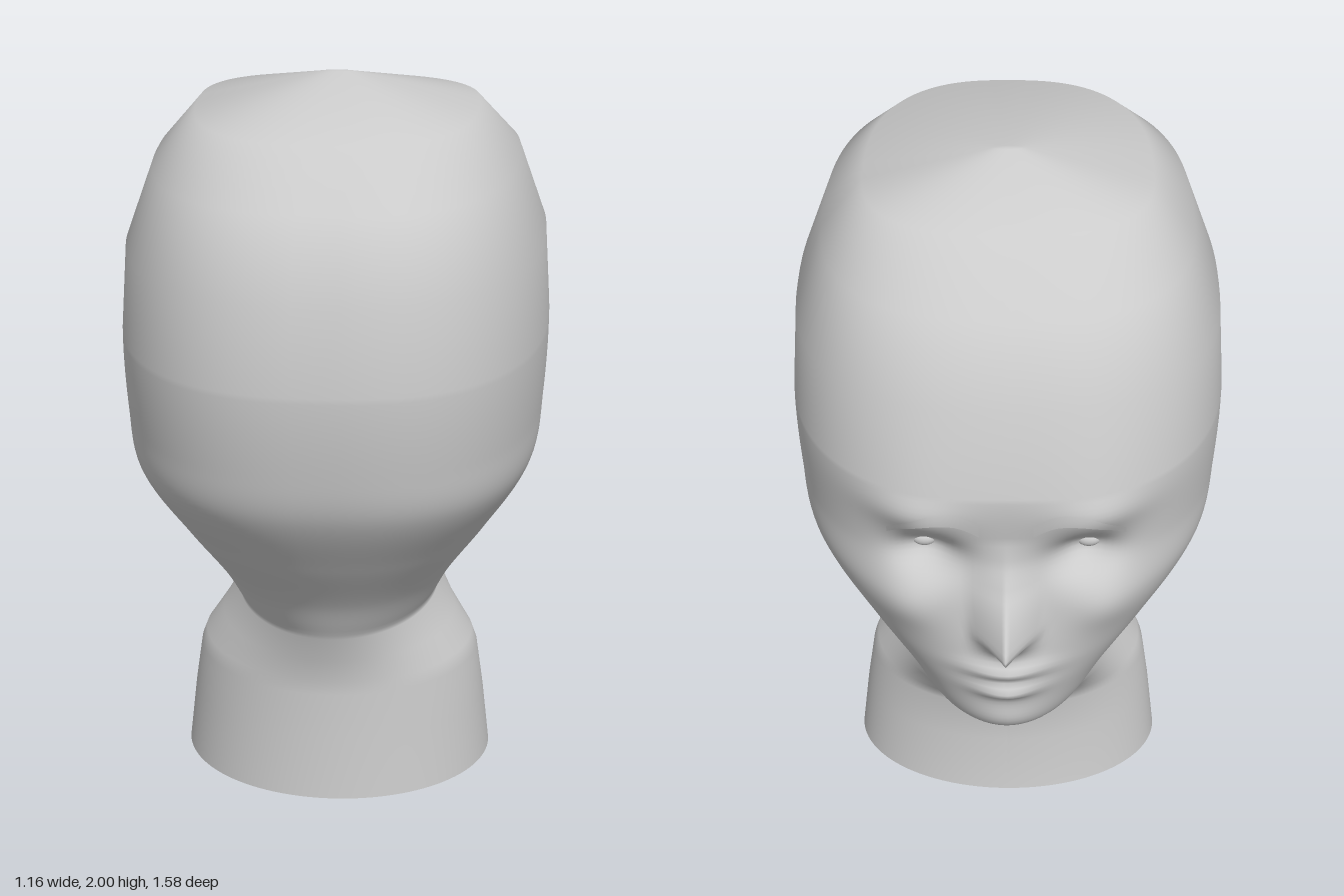
import * as THREE from 'three';

// Head sections: height, half width, back depth, front depth, squareness
const SECTIONS = [
  [0.00, 0.44, 0.39, 0.30, 2.0],
  [0.18, 0.42, 0.38, 0.28, 2.0],
  [0.32, 0.40, 0.38, 0.29, 2.0],
  [0.36, 0.385, 0.38, 0.31, 2.0],
  [0.43, 0.335, 0.395, 0.40, 2.0],
  [0.51, 0.285, 0.42, 0.57, 2.0],
  [0.55, 0.298, 0.44, 0.61, 2.05],
  [0.64, 0.345, 0.49, 0.63, 2.15],
  [0.80, 0.45, 0.61, 0.645, 2.3],
  [0.98, 0.55, 0.73, 0.635, 2.5],
  [1.12, 0.57, 0.77, 0.625, 2.5],
  [1.35, 0.58, 0.795, 0.65, 2.5],
  [1.58, 0.565, 0.78, 0.60, 2.5],
  [1.79, 0.49, 0.69, 0.50, 2.6],
  [1.92, 0.38, 0.51, 0.31, 2.6],
  [1.998, 0.04, 0.01, 0.01, 2.0],
];

// Smooth interpolation between neighbouring sections
function sectionAt(y) {
  const last = SECTIONS.length - 1;
  let i = 0;
  while (i < last - 1 && SECTIONS[i + 1][0] < y) i++;
  const p = SECTIONS[i], q = SECTIONS[i + 1], h = q[0] - p[0], t = (y - p[0]) / h;
  const before = SECTIONS[Math.max(i - 1, 0)], after = SECTIONS[Math.min(i + 2, last)];
  return [1, 2, 3, 4].map((k) => {
    const m0 = (q[k] - before[k]) / (q[0] - before[0]) * h;
    const m1 = (after[k] - p[k]) / (after[0] - p[0]) * h;
    const t2 = t * t, t3 = t2 * t;
    return (2 * t3 - 3 * t2 + 1) * p[k] + (t3 - 2 * t2 + t) * m0
      + (3 * t2 - 2 * t3) * q[k] + (t3 - t2) * m1;
  });
}

// Facial relief: x, y, spread in x, spread in y, height
const RELIEF = [
  [0.20, 1.13, 0.085, 0.06, -0.065], // eye socket
  [0.24, 1.28, 0.11, 0.06, 0.028],   // brow ridge
  [0.27, 0.97, 0.10, 0.09, 0.03],    // cheek
  [0, 0.775, 0.10, 0.028, 0.036],    // upper lip
  [0, 0.70, 0.085, 0.03, 0.036],     // lower lip
  [0, 0.57, 0.08, 0.04, 0.008],      // chin
];
const NOSE = [[0.80, 0], [0.84, 0.03], [0.87, 0.075], [0.905, 0.15], [0.95, 0.122],
  [1.05, 0.05], [1.12, 0.018], [1.2, 0]];

function relief(x, y) {
  const ax = Math.abs(x);
  let d = 0;
  for (const [cx, cy, sx, sy, h] of RELIEF) {
    d += h * Math.exp(-(((ax - cx) / sx) ** 2) - ((y - cy) / sy) ** 2);
  }
  for (let i = 0; i < NOSE.length - 1; i++) {
    const [y0, h0] = NOSE[i], [y1, h1] = NOSE[i + 1];
    if (y >= y0 && y < y1) {
      const h = h0 + (h1 - h0) * (y - y0) / (y1 - y0);
      d += h * Math.max(0, 1 - ax / 0.105) ** 1.25;
    }
  }
  return d;
}

// Depth of the face surface at a given point
function faceZ(x, y) {
  const [a, , front, n] = sectionAt(y);
  const r = Math.min(Math.abs(x) / a, 1);
  return -front * (1 - r ** n) ** (1 / n) - relief(x, y);
}

// Head and neck skin, open at the base of the neck
function headGeometry() {
  const rows = SECTIONS.map((s) => s[0]).filter((y) => y < 0.52 || y > 1.34);
  for (let y = 0.525; y < 1.34; y += 0.015) rows.push(y);
  rows.sort((p, q) => p - q);
  const cols = 144, pos = [], index = [];
  const power = (v, e) => Math.sign(v) * Math.abs(v) ** e;
  for (const y of rows) {
    const [a, back, front, n] = sectionAt(y);
    for (let j = 0; j < cols; j++) {
      const t = (2 * j) / cols - 1; // columns gather at the face
      const ang = Math.PI * power(t, 1.4);
      const c = Math.cos(ang), x = a * power(Math.sin(ang), 2 / n);
      let z = -(c > 0 ? front : back) * power(c, 2 / n);
      if (c > 0) z -= relief(x, y) * Math.min(1, c * 3);
      pos.push(x, y, z);
    }
  }
  for (let i = 0; i < rows.length - 1; i++) {
    for (let j = 0; j < cols; j++) {
      const k = (j + 1) % cols;
      const p = i * cols + j, q = i * cols + k;
      index.push(p, p + cols, q, q, p + cols, q + cols);
    }
  }
  // Crown
  const top = pos.length / 3, ring = (rows.length - 1) * cols;
  pos.push(0, 2, 0);
  for (let j = 0; j < cols; j++) index.push(ring + j, top, ring + (j + 1) % cols);
  const g = new THREE.BufferGeometry();
  g.setAttribute('position', new THREE.Float32BufferAttribute(pos, 3));
  g.setIndex(index);
  g.computeVertexNormals();
  return g;
}

// Arched strip lying just off the forehead
function browGeometry(side) {
  const arch = new THREE.SplineCurve([[0.07, 1.25], [0.13, 1.285], [0.2, 1.285],
    [0.26, 1.255], [0.31, 1.21]].map(([x, y]) => new THREE.Vector2(x, y)));
  const g = new THREE.PlaneGeometry(1, 1, 16, 2).rotateY(Math.PI);
  const p = g.attributes.position;
  for (let i = 0; i < p.count; i++) {
    const u = p.getX(i) * side + 0.5;
    const c = arch.getPoint(THREE.MathUtils.clamp(u, 0, 1));
    const y = c.y + p.getY(i) * (0.045 - 0.02 * u);
    p.setXYZ(i, side * c.x, y, faceZ(c.x, y) - 0.01);
  }
  g.computeVertexNormals();
  return g;
}

export function createModel() {
  const model = new THREE.Group();
  model.name = 'headBust';
  const skin = new THREE.MeshStandardMaterial({ color: 0xcccccc, side: THREE.DoubleSide });
  skin.name = 'plainGrey';
  const add = (name, geometry) => {
    const mesh = new THREE.Mesh(geometry, skin);
    mesh.name = name;
    model.add(mesh);
    return mesh;
  };

  add('headAndNeck', headGeometry());
  for (const side of [1, -1]) {
    const label = side > 0 ? 'left' : 'right';
    add(label + 'Brow', browGeometry(side));
    // Small eye set in its socket
    const eye = add(label + 'Eye', new THREE.SphereGeometry(1, 20, 14));
    eye.scale.set(0.032, 0.022, 0.02);
    eye.position.set(side * 0.215, 1.14, faceZ(0.215, 1.14) + 0.006);
  }
  return model;
}
